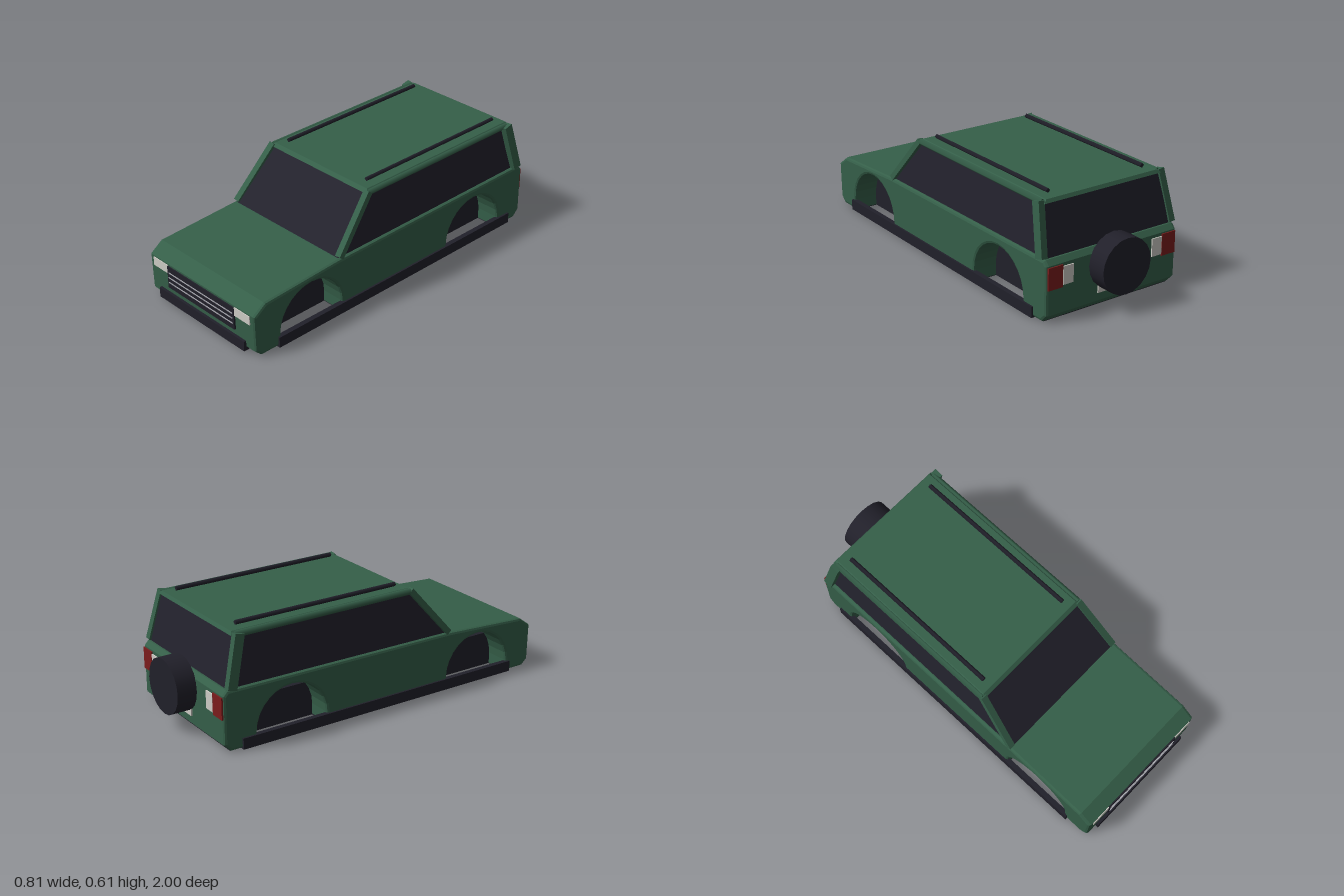
import * as THREE from 'three';

export function createModel() {
  const model = new THREE.Group();
  const material = (name, color) => {
    const m = new THREE.MeshStandardMaterial({ color });
    m.name = name;
    return m;
  };
  const green = material('green paint', 0x355f49);
  const glass = material('tinted glass', 0x23222d);
  const trim = material('dark trim', 0x21202a);
  const white = material('pale lamps', 0xcfcdc6);
  const red = material('red lamps', 0x7c1c1c);
  const silver = material('silver slats', 0xa5a5ac);

  const add = (name, geometry, mat) => {
    const mesh = new THREE.Mesh(geometry, mat);
    mesh.name = name;
    model.add(mesh);
    return mesh;
  };
  // Box given by its limits on each axis
  const box = (name, mat, [x0, x1], [y0, y1], [z0, z1]) => {
    const g = new THREE.BoxGeometry(x1 - x0, y1 - y0, z1 - z0);
    return add(name, g.translate((x0 + x1) / 2, (y0 + y1) / 2, (z0 + z1) / 2), mat);
  };
  // Stretch an upright geometry of unit height between two points
  const between = (name, geometry, mat, p, q) => {
    const a = new THREE.Vector3(...p), b = new THREE.Vector3(...q);
    const dir = b.clone().sub(a);
    const mesh = add(name, geometry.scale(1, dir.length(), 1), mat);
    mesh.position.copy(a).add(b).multiplyScalar(0.5);
    mesh.quaternion.setFromUnitVectors(new THREE.Vector3(0, 1, 0), dir.normalize());
    return mesh;
  };
  // Box tapering from a lower to an upper rectangle: [halfWidth, rearZ, frontZ, y]
  const taper = (name, mat, low, high) => {
    const g = new THREE.BoxGeometry(2, 2, 2);
    const p = g.attributes.position;
    for (let i = 0; i < p.count; i++) {
      const [w, rear, front, y] = p.getY(i) > 0 ? high : low;
      p.setXYZ(i, Math.sign(p.getX(i)) * w, y, p.getZ(i) > 0 ? front : rear);
    }
    g.computeVertexNormals();
    return add(name, g, mat);
  };

  // Lower body: side profile with wheel arches, extruded across the width
  const frontAxle = 0.63, rearAxle = -0.517, archR = 0.199, archY = 0.062;
  const s = new THREE.Shape();
  s.moveTo(0.95, 0.003);
  [[0.985, 0.035], [0.99, 0.23], [0.92, 0.28], [0.45, 0.306], [-0.875, 0.315],
    [-0.897, 0.29], [-0.897, 0.04], [-0.86, 0.003]].forEach(([z, y]) => s.lineTo(z, y));
  for (const axle of [rearAxle, frontAxle]) {
    s.lineTo(axle - archR, 0.003);
    s.lineTo(axle - archR, archY);
    s.absarc(axle, archY, archR, Math.PI, 0, true);
    s.lineTo(axle + archR, 0.003);
  }
  s.closePath();
  const bevel = 0.014, halfWidth = 0.392;
  const bodyGeometry = new THREE.ExtrudeGeometry(s, {
    depth: 2 * (halfWidth - bevel), curveSegments: 7, bevelEnabled: true,
    bevelThickness: bevel, bevelSize: bevel, bevelOffset: -bevel, bevelSegments: 2,
  });
  bodyGeometry.translate(0, 0, -(halfWidth - bevel)).rotateY(-Math.PI / 2);
  add('body', bodyGeometry, green);

  // Underbody: central tunnel and floor plates between the arches
  box('chassis', trim, [-0.26, 0.26], [0.001, 0.185], [-0.84, 0.9]);
  const archEnds = [-0.86, rearAxle - archR, rearAxle + archR, frontAxle - archR, frontAxle + archR, 0.94];
  for (let i = 0; i < 6; i += 2) {
    box('floorPlate', trim, [-0.375, 0.375], [0, 0.006], [archEnds[i], archEnds[i + 1]]);
  }

  // Cabin
  taper('cabinGlass', glass, [0.374, -0.868, 0.445, 0.305], [0.338, -0.808, 0.212, 0.567]);
  taper('roof', green, [0.35, -0.822, 0.228, 0.563], [0.332, -0.812, 0.21, 0.58]);

  // Paired parts
  for (const side of [-1, 1]) {
    const sx = (a, b) => (side > 0 ? [a, b] : [-b, -a]);
    between('frontPillar', new THREE.BoxGeometry(0.034, 1, 0.03), green,
      [side * 0.376, 0.308, 0.438], [side * 0.343, 0.57, 0.213]);
    between('rearPillar', new THREE.BoxGeometry(0.034, 1, 0.05), green,
      [side * 0.386, 0.315, -0.852], [side * 0.359, 0.573, -0.788]);
    between('roofEdge', new THREE.CylinderGeometry(0.018, 0.018, 1, 4), green,
      [side * 0.345, 0.565, -0.8], [side * 0.345, 0.565, 0.215]);
    between('roofRail', new THREE.CylinderGeometry(0.012, 0.012, 1, 4), trim,
      [side * 0.282, 0.595, -0.76], [side * 0.282, 0.595, 0.165]);
    box('sill', trim, sx(0.375, 0.402), [0, 0.057], [-0.8, 0.85]);
    box('headlight', white, sx(0.25, 0.36), [0.177, 0.224], [0.986, 0.994]);
    box('tailLight', red, sx(0.3, 0.383), [0.17, 0.283], [-0.903, -0.895]);
    box('reverseLight', white, sx(0.238, 0.298), [0.18, 0.273], [-0.903, -0.895]);
  }

  // Front end
  box('grille', trim, [-0.25, 0.25], [0.098, 0.22], [0.98, 0.996]);
  for (const y of [0.131, 0.159, 0.187]) {
    box('grilleSlat', silver, [-0.24, 0.24], [y - 0.0025, y + 0.0025], [0.994, 0.999]);
  }
  box('frontBumper', trim, [-0.32, 0.32], [0.012, 0.066], [0.96, 1]);

  // Rear end
  box('rearPlate', white, [-0.09, 0.09], [0.082, 0.14], [-0.904, -0.896]);
  const spare = new THREE.CylinderGeometry(0.143, 0.143, 0.105, 20);
  add('spareWheel', spare.rotateX(Math.PI / 2).translate(0, 0.23, -0.9475), trim);

  return model;
}
